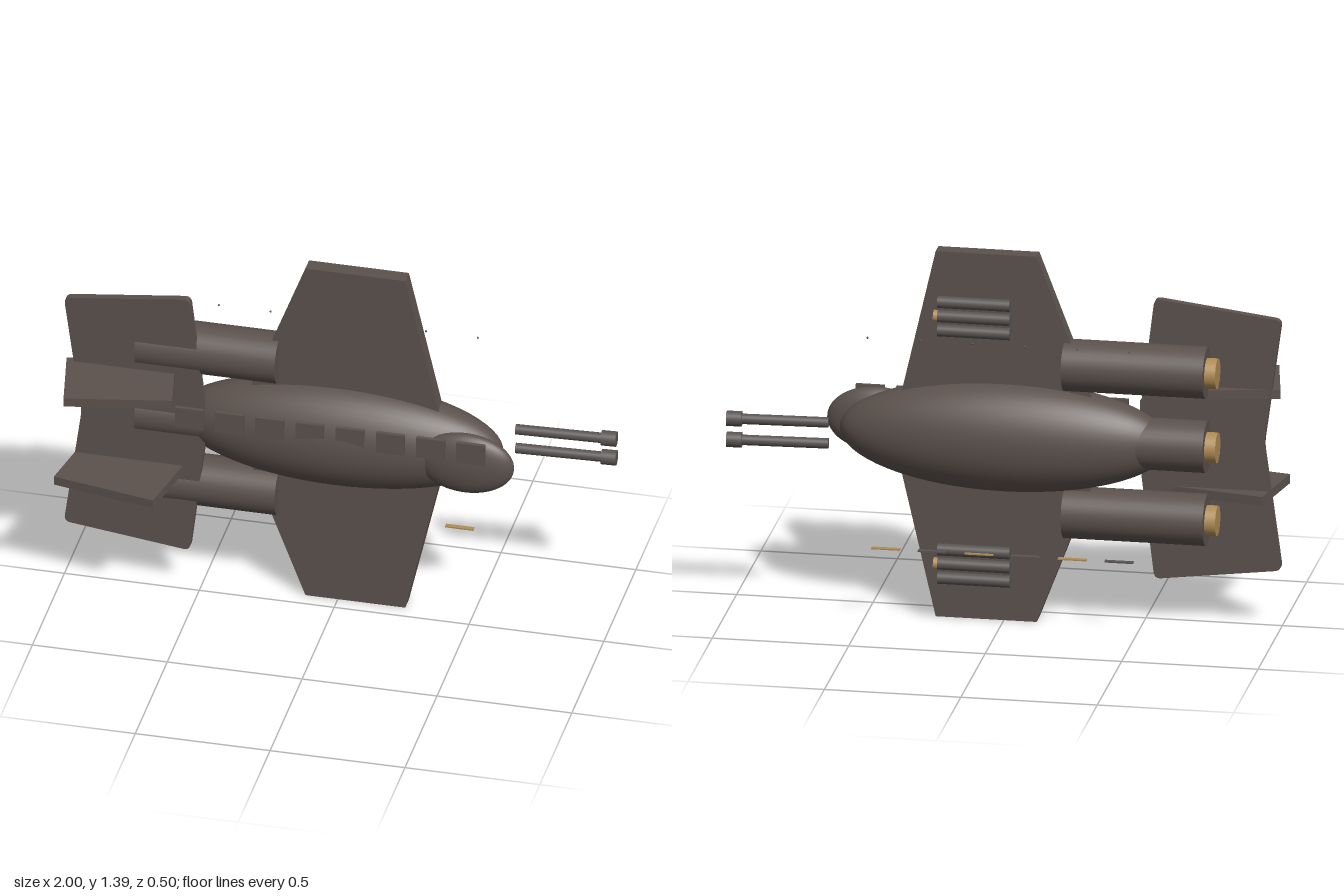
import * as THREE from 'three';

const MID_Y = 0.695, AXIS_Z = -0.089;

export function createModel() {
  const model = new THREE.Group();
  const mat = (name, color) => {
    const m = new THREE.MeshStandardMaterial({ color });
    m.name = name;
    return m;
  };
  const hull = mat('hull brown', 0x5c524d);
  const gold = mat('bronze', 0xb08d57);
  const steel = mat('gunmetal', 0x5a5553);

  const add = (name, geometry, material, x = 0, y = 0, z = 0) => {
    const mesh = new THREE.Mesh(geometry, material);
    mesh.name = name;
    mesh.position.set(x, y, z);
    model.add(mesh);
    return mesh;
  };
  const ellipsoid = (rx, ry, rz) => new THREE.SphereGeometry(1, 48, 32).rotateZ(Math.PI / 2).scale(rx, ry, rz);
  // Cylinder along x between two x positions
  const rod = (name, r, x0, x1, y, z, material) =>
    add(name, new THREE.CylinderGeometry(r, r, x1 - x0, 32).rotateZ(Math.PI / 2), material, (x0 + x1) / 2, y, z);
  // Flat plate from an outline, with corners rounded by radius r
  const plate = (points, depth, r = 0) => {
    const pts = points.map(p => new THREE.Vector2(...p));
    const shape = new THREE.Shape();
    pts.forEach((p, i) => {
      const prev = pts[(i + pts.length - 1) % pts.length], next = pts[(i + 1) % pts.length];
      const a = p.clone().add(prev.clone().sub(p).setLength(r));
      const b = p.clone().add(next.clone().sub(p).setLength(r));
      if (i === 0) shape.moveTo(a.x, a.y); else shape.lineTo(a.x, a.y);
      if (r > 0) shape.quadraticCurveTo(p.x, p.y, b.x, b.y);
    });
    shape.closePath();
    return new THREE.ExtrudeGeometry(shape, { depth, bevelEnabled: false, curveSegments: 6 });
  };

  // Fuselage and cockpit
  add('fuselage', ellipsoid(0.605, 0.206, 0.164), hull, 0, MID_Y, AXIS_Z);
  add('cockpit', ellipsoid(0.18, 0.122, 0.053), hull, 0.49, MID_Y, 0.013);

  // Tapered wings as one plate through the fuselage
  add('wings', plate([
    [-0.12, 1.39], [-0.386, MID_Y], [-0.12, 0], [0.25, 0], [0.41, MID_Y], [0.25, 1.39],
  ], 0.058), hull, 0, 0, -0.115);

  // Engines with bronze nozzles
  for (const y of [0.977, MID_Y, 0.417]) {
    rod('engine', 0.095, -0.74, -0.22, y, AXIS_Z, hull);
    rod('engineNozzle', 0.056, -0.78, -0.74, y, -0.095, gold);
  }

  // Swept tail plate
  add('tailPlate', plate([
    [-1.003, 1.17], [-0.938, MID_Y], [-1.003, 0.22], [-0.537, 0.162], [-0.472, MID_Y], [-0.537, 1.228],
  ], 0.028, 0.025), hull, 0, 0, -0.033);

  // Angled tail fins
  for (const side of [1, -1]) {
    const fin = add('tailFin', new THREE.BoxGeometry(0.393, 0.034, 0.28), hull,
      -0.778, MID_Y + side * 0.193, 0.075);
    fin.rotation.y = side * 0.193;
  }

  // Row of raised windows
  for (let i = 0; i < 8; i++) {
    add('window', new THREE.BoxGeometry(0.105, 0.083, 0.015), hull, -0.522 + i * 0.149, 0.767, 0.06);
  }

  // Twin guns with muzzles, slightly tilted
  for (const y of [0.738, 0.658]) {
    rod('gunBarrel', 0.019, 0.63, 0.96, y, -0.191, steel).rotation.y = 0.045;
    rod('gunMuzzle', 0.028, 0.945, 1.0, y, -0.2, steel).rotation.y = 0.045;
  }

  // Rocket clusters, the middle rocket tipped in bronze
  for (const centre of [1.166, 0.224]) {
    for (const k of [-1, 0, 1]) {
      const y = centre + k * 0.054;
      rod('rocket', 0.022, -0.035, 0.23, y, -0.181, steel);
      if (k === 0) rod('rocketTip', 0.022, 0.23, 0.245, y, -0.181, gold);
    }
  }

  // Thin strips and small rivets along the underside
  for (let i = 0; i < 6; i++) {
    add('strip', new THREE.BoxGeometry(0.105, 0.005, 0.018), i % 2 ? gold : steel, -0.438 + i * 0.171, 0.277, -0.204);
    add('rivet', new THREE.SphereGeometry(0.004, 8, 6), steel, -0.48 + i * 0.192, 1.082, -0.222);
  }

  return model;
}
